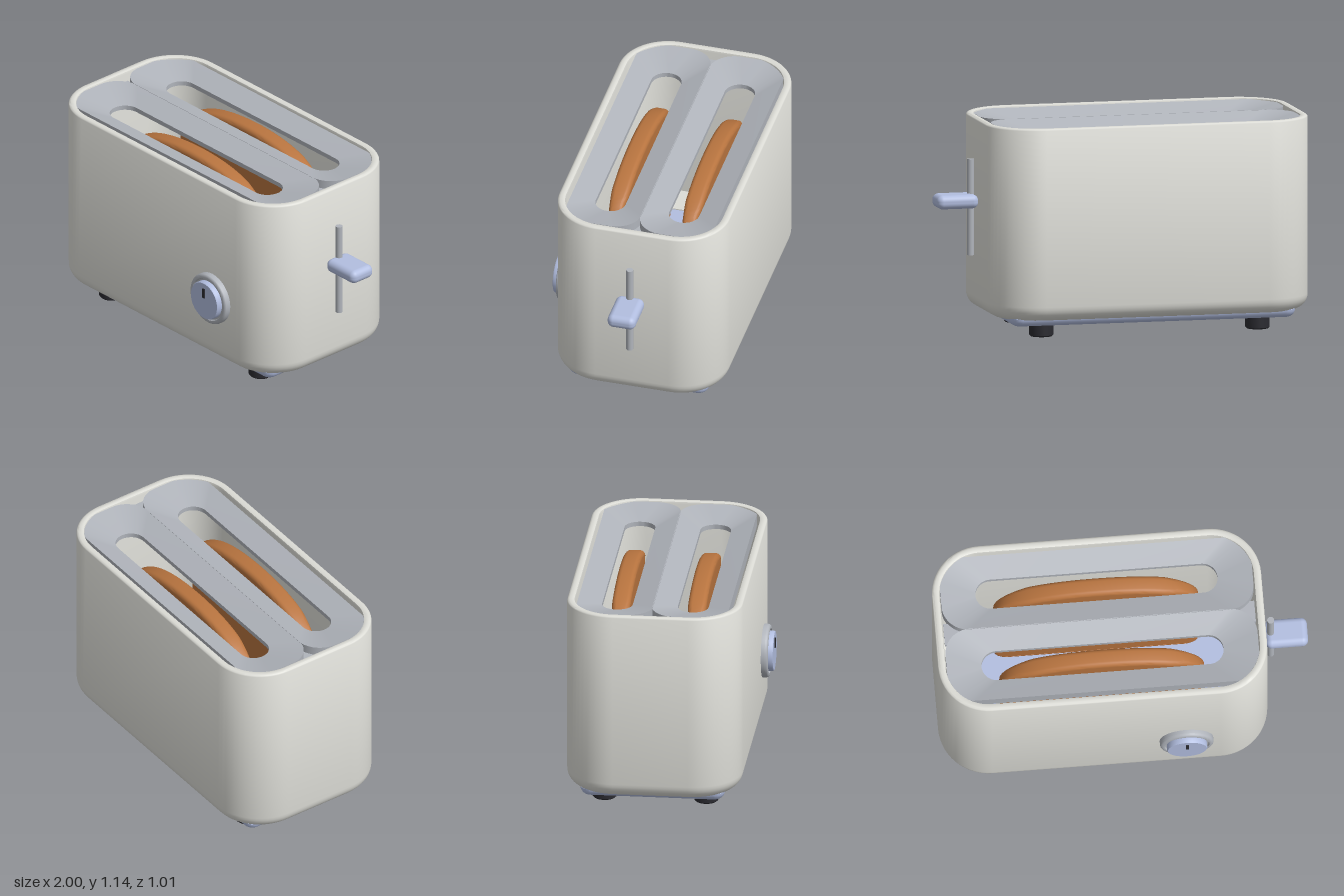
import * as THREE from 'three';
import { toCreasedNormals } from 'three/addons/utils/BufferGeometryUtils.js';
import { RoundedBoxGeometry } from 'three/addons/geometries/RoundedBoxGeometry.js';

const CX = -0.1165, CZ = -0.032; // centre of the housing in plan

// Points of a rounded rectangle in plan, the same count for every size
function roundedRing(y, w, d, r) {
  const pts = [], steps = 14;
  const signs = [[1, 1], [-1, 1], [-1, -1], [1, -1]];
  signs.forEach(([sx, sz], q) => {
    for (let i = 0; i <= steps; i++) {
      const a = (q + i / steps) * Math.PI / 2;
      pts.push([sx * (w / 2 - r) + r * Math.cos(a), y, sz * (d / 2 - r) + r * Math.sin(a)]);
    }
  });
  return pts;
}

// Skin a list of [y, width, depth, radius] sections; a zero size closes the end
function loft(sections, crease = 0.6) {
  const rings = sections.map((s) => roundedRing(...s));
  const n = rings[0].length, index = [];
  for (let i = 0; i < rings.length - 1; i++) {
    for (let j = 0; j < n; j++) {
      const a = i * n + j, b = i * n + (j + 1) % n;
      index.push(a, a + n, b, b, a + n, b + n);
    }
  }
  const geo = new THREE.BufferGeometry();
  geo.setAttribute('position', new THREE.Float32BufferAttribute(rings.flat(2), 3));
  geo.setIndex(index);
  return toCreasedNormals(geo, crease);
}

// Bread slice, arched on top and thinner towards both ends
function breadGeometry() {
  const slice = new THREE.Shape();
  slice.moveTo(-0.48, 0.2);
  slice.lineTo(0.48, 0.2);
  slice.quadraticCurveTo(0.525, 0.2, 0.525, 0.25);
  slice.lineTo(0.525, 0.84);
  slice.bezierCurveTo(0.525, 0.98, 0.32, 1.075, 0, 1.075);
  slice.bezierCurveTo(-0.32, 1.075, -0.525, 0.98, -0.525, 0.84);
  slice.lineTo(-0.525, 0.25);
  slice.quadraticCurveTo(-0.525, 0.2, -0.48, 0.2);
  const geo = new THREE.ExtrudeGeometry(slice, {
    depth: 0.05, bevelEnabled: true, bevelThickness: 0.025, bevelSize: 0.025,
    bevelSegments: 4, curveSegments: 24,
  }).translate(0, 0, -0.025);
  const p = geo.attributes.position;
  for (let i = 0; i < p.count; i++) {
    const t = Math.max(0, (Math.abs(p.getX(i)) - 0.37) / 0.18);
    p.setZ(i, p.getZ(i) * (1 - 0.4 * t));
  }
  return toCreasedNormals(geo, 0.6);
}

export function createModel() {
  const model = new THREE.Group();
  model.name = 'toaster';
  const mat = (name, color, side = THREE.FrontSide) => {
    const m = new THREE.MeshStandardMaterial({ color, side });
    m.name = name;
    return m;
  };
  const cream = mat('warm grey enamel', 0xdcdcd6);
  const metal = mat('grey metal', 0xb0b4bb, THREE.DoubleSide);
  const blue = mat('pale blue plastic', 0xb2bee0);
  const crust = mat('toasted bread', 0xb8743f);
  const black = mat('black rubber', 0x2a2a30);
  const add = (name, geo, material, x = 0, y = 0, z = 0) => {
    const mesh = new THREE.Mesh(geo, material);
    mesh.name = name;
    mesh.position.set(x, y, z);
    model.add(mesh);
  };

  // Hollow housing: rounded foot, straight wall, thin rim, inner wall
  const W = 1.767, D = 0.944, R = 0.27;
  const wall = (y, inset) => [y, W - 2 * inset, D - 2 * inset, R - inset];
  const housing = [wall(0.12, 0.12), wall(0.1, 0.12)];
  for (let i = 0; i <= 8; i++) {
    const a = (i / 8) * Math.PI / 2;
    housing.push(wall(0.18 - 0.08 * Math.cos(a), 0.08 * (1 - Math.sin(a))));
  }
  housing.push(wall(1.135, 0), wall(1.141, 0.004), wall(1.145, 0.013), wall(1.145, 0.03),
    wall(1.141, 0.039), wall(1.13, 0.042), wall(0.19, 0.045), wall(0.12, 0.12));
  add('housing', loft(housing), cream, CX, 0, CZ);

  // Base tray with squarer corners than the housing
  const tray = [[0.065, 0, 0, 0]];
  for (let i = 0; i <= 6; i++) {
    const a = (i / 6) * Math.PI / 2, inset = 0.045 * (1 - Math.sin(a));
    tray.push([0.11 - 0.045 * Math.cos(a), 1.574 - 2 * inset, 0.778 - 2 * inset, 0.06 - inset]);
  }
  tray.push([0.114, 1.564, 0.768, 0.055], [0.114, 0, 0, 0]);
  add('baseTray', loft(tray), blue, -0.118, 0, -0.033);

  // Feet
  const footProfile = [[0, 0], [0.058, 0], [0.065, 0.007], [0.065, 0.07], [0, 0.07]]
    .map(([x, y]) => new THREE.Vector2(x, y));
  const footGeo = toCreasedNormals(new THREE.LatheGeometry(footProfile, 32), 0.6);
  for (const x of [-0.713, 0.48]) {
    for (const z of [-0.305, 0.242]) add('foot', footGeo, black, x, 0, z);
  }

  // Two dished top panels, each with a bread slot and a slice
  const panelGeo = loft([
    [1.07, 1.675, 0.412, 0.14], [1.138, 1.675, 0.412, 0.14],
    [1.095, 1.3, 0.165, 0.082], [1.07, 1.3, 0.165, 0.082],
  ], 0.35);
  const sliceGeo = breadGeometry();
  for (const z of [-0.24, 0.168]) {
    add('topPanel', panelGeo, metal, CX, 0, z);
    add('breadSlice', sliceGeo, crust, -0.12, 0, z);
  }
  add('panelBridge', new THREE.BoxGeometry(1.67, 0.02, 0.12), metal, CX, 1.08, CZ);

  // Lever rail and handle on the left side
  add('leverRail', new THREE.CylinderGeometry(0.019, 0.019, 0.52, 24), metal, 0.802, 0.67, -0.032);
  add('leverHandle', new RoundedBoxGeometry(0.228, 0.075, 0.155, 5, 0.033), blue, 0.886, 0.706, -0.033);

  // Browning dial: rounded bezel, knob and pointer mark
  const turned = (points) => {
    const geo = new THREE.LatheGeometry(points.map(([x, y]) => new THREE.Vector2(x, y)), 48);
    return toCreasedNormals(geo.rotateX(Math.PI / 2), 0.6);
  };
  add('dialRing', turned([[0.144, -0.01], [0.144, 0.022], [0.142, 0.03], [0.136, 0.036], [0.128, 0.038],
    [0.121, 0.038], [0.116, 0.03], [0, 0.03]]), metal, 0.312, 0.47, 0.438);
  add('dialKnob', turned([[0.108, 0.02], [0.108, 0.056], [0.104, 0.062], [0, 0.062]]),
    blue, 0.312, 0.47, 0.438);
  add('dialMark', new THREE.BoxGeometry(0.015, 0.055, 0.008), black, 0.312, 0.517, 0.502);

  return model;
}
